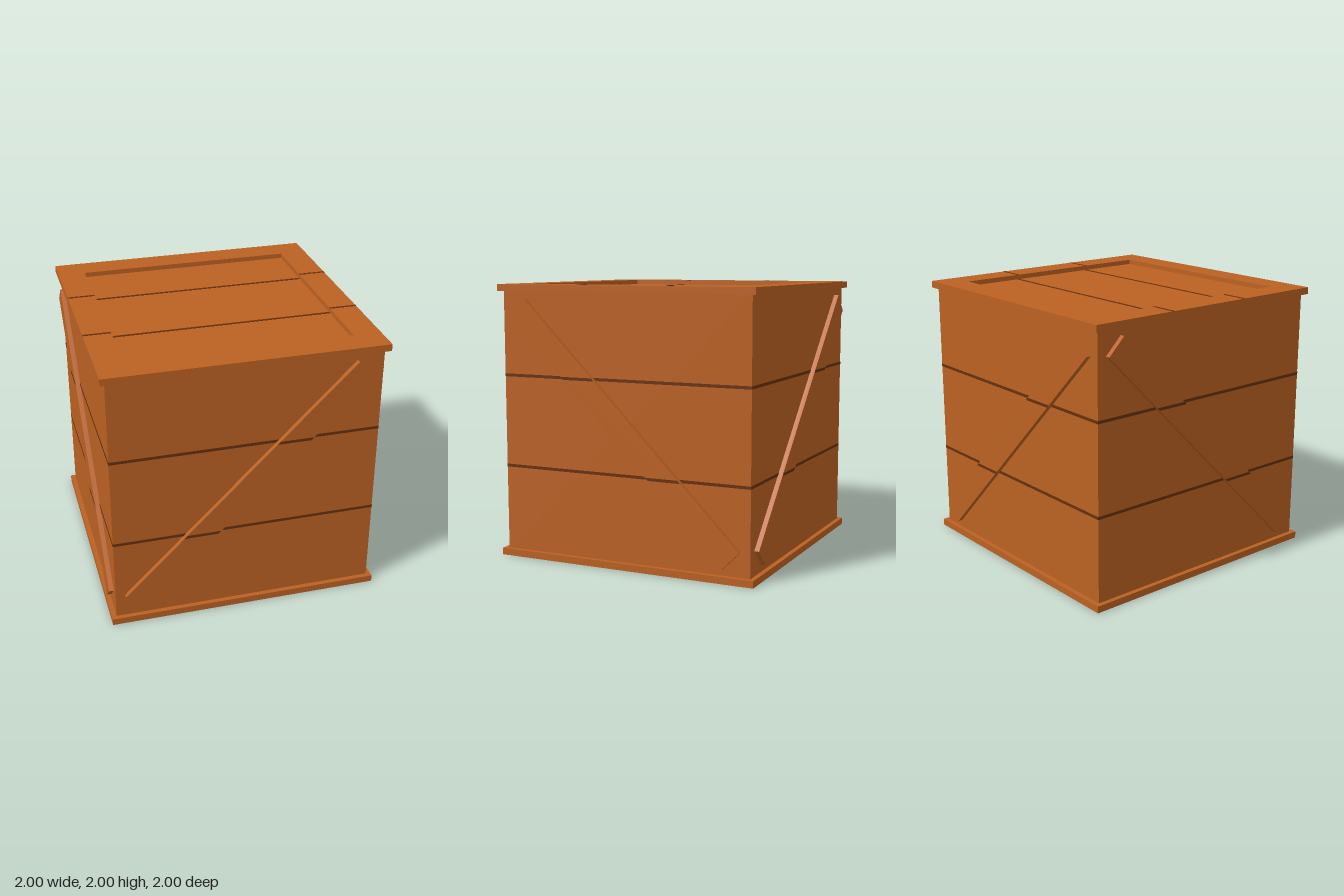
import * as THREE from 'three';

const wood = new THREE.MeshStandardMaterial({ name: 'wood', color: 0xbb6122 });
const seam = new THREE.MeshStandardMaterial({ name: 'dark seam', color: 0x66300f });

const BODY = 0.965;             // half size of the inner box
const SEAMS = [0.674, 1.343];   // heights of the plank seams
const SEAM_W = 0.021;
const PAINT = 0.002;            // thickness of painted seam plates

function add(parent, name, geometry, material, x = 0, y = 0, z = 0) {
  const mesh = new THREE.Mesh(geometry, material);
  mesh.name = name;
  mesh.position.set(x, y, z);
  parent.add(mesh);
  return mesh;
}

function polygon(points) {
  return new THREE.Shape(points.map(([x, y]) => new THREE.Vector2(x, y)));
}

// Square ring lying flat, 0.05 thick, with its underside at y = 0
function frameGeometry() {
  const square = (s) => [[-s, -s], [s, -s], [s, s], [-s, s]];
  const shape = polygon(square(1));
  shape.holes.push(polygon(square(0.8).reverse()));
  return new THREE.ExtrudeGeometry(shape, { depth: 0.05, bevelEnabled: false })
    .rotateX(-Math.PI / 2);
}

// One side, facing +z: diagonal brace and plank seams; dir +1 rises to the right
function createSide(name, dir) {
  const side = new THREE.Group();
  side.name = name;

  const depth = 1 - BODY;
  const brace = add(side, 'diagonalBrace', new THREE.BoxGeometry(2.36, 0.175, depth),
    wood, 0, 1, BODY + depth / 2);
  brace.rotation.z = dir * Math.PI / 4;

  for (const y of SEAMS) {
    add(side, 'plankSeam', new THREE.BoxGeometry(BODY * 2, SEAM_W, PAINT), seam, 0, y, BODY + PAINT / 2);
    // Seam continued across the slanted brace
    const h = SEAM_W / 2, w = 0.123;
    const slant = polygon([[-w - dir * h, -h], [w - dir * h, -h], [w + dir * h, h], [-w + dir * h, h]]);
    add(side, 'braceSeam', new THREE.ExtrudeGeometry(slant, { depth: PAINT, bevelEnabled: false }),
      seam, dir * (y - 1), y, 1 - PAINT / 2);
  }
  return side;
}

export function createModel() {
  const crate = new THREE.Group();
  crate.name = 'crate';

  add(crate, 'body', new THREE.BoxGeometry(BODY * 2, BODY * 2, BODY * 2), wood, 0, 1, 0);

  // Rims around the recessed lid and base
  add(crate, 'topFrame', frameGeometry(), wood, 0, 1.95, 0);
  add(crate, 'bottomFrame', frameGeometry(), wood);

  // Four sides with alternating braces
  ['frontSide', 'leftSide', 'backSide', 'rightSide'].forEach((name, i) => {
    const side = createSide(name, i % 2 ? -1 : 1);
    side.rotation.y = i * Math.PI / 2;
    crate.add(side);
  });

  // Plank seams over the lid and its rim
  for (const y of SEAMS) {
    const z = 1 - y;
    add(crate, 'lidSeam', new THREE.BoxGeometry(1.6, PAINT, SEAM_W), seam, 0, 1 + BODY + PAINT / 2, z);
    for (const s of [-1, 1]) {
      add(crate, 'rimSeam', new THREE.BoxGeometry(0.2, PAINT, SEAM_W), seam, s * 0.9, 2, z);
    }
  }
  return crate;
}
